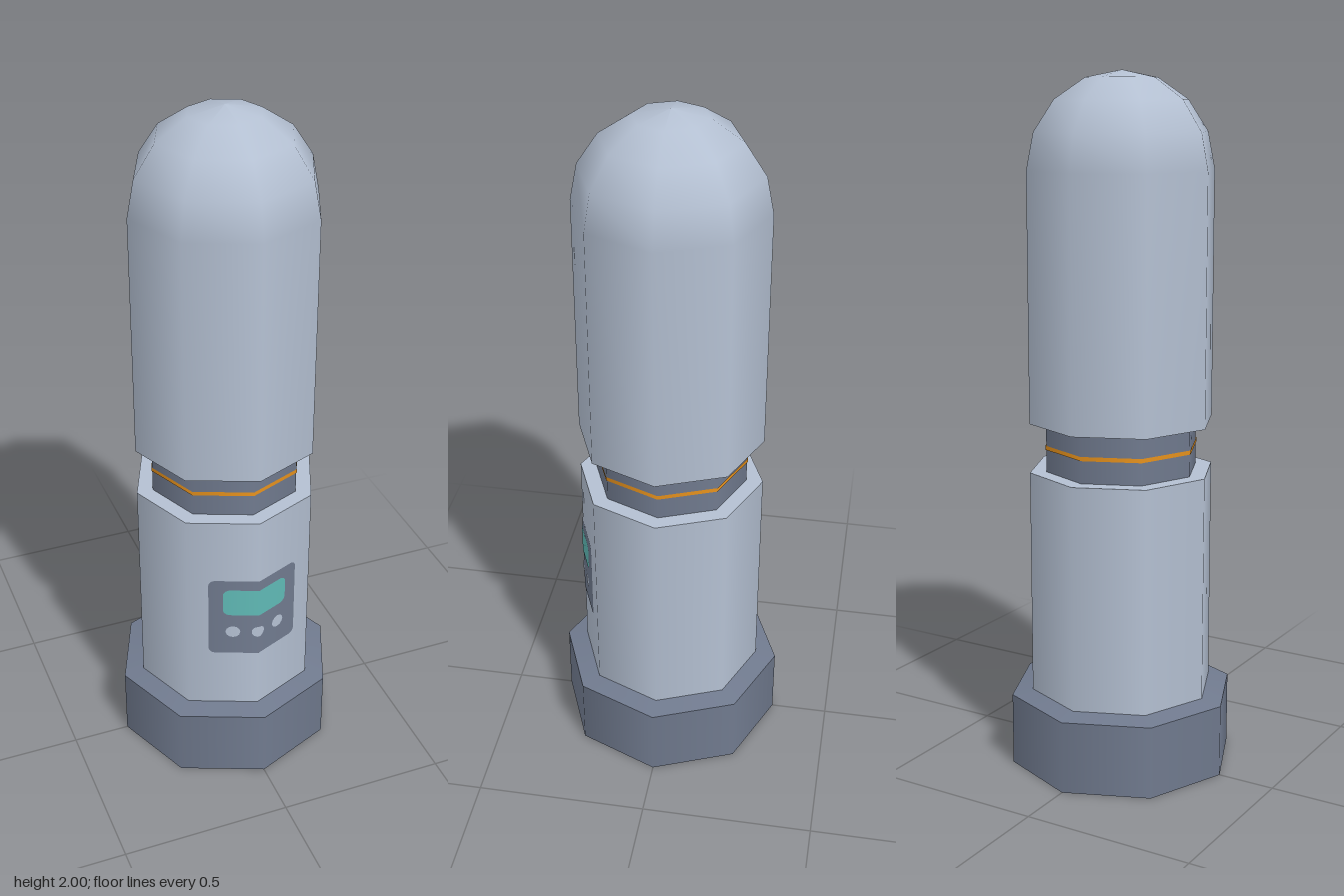
import * as THREE from 'three';
import { mergeGeometries } from 'three/addons/utils/BufferGeometryUtils.js';

const SIDES = 8, R = 0.27;

function material(name, color) {
  const m = new THREE.MeshStandardMaterial({ color, side: THREE.DoubleSide });
  m.name = name;
  return m;
}

// Octagonal shell; each profile (bottom to top) is smooth, edges between profiles are sharp
function shell(name, mat, ...profiles) {
  const parts = profiles.map(p =>
    new THREE.LatheGeometry(p.map(([r, y]) => new THREE.Vector2(r, y)), SIDES));
  const mesh = new THREE.Mesh(mergeGeometries(parts), mat);
  mesh.name = name;
  return mesh;
}

// Right half of a rounded rectangle centred on the origin
function halfPlate(w, h, r) {
  const s = new THREE.Shape();
  s.moveTo(0, -h);
  s.lineTo(w - r, -h);
  s.absarc(w - r, -h + r, r, -Math.PI / 2, 0, false);
  s.absarc(w - r, h - r, r, 0, Math.PI / 2, false);
  s.lineTo(0, h);
  return new THREE.ShapeGeometry(s, 6);
}

// Lay a flat geometry on the two front faces, which meet at x = 0
function wrap(geo, lift) {
  const p = geo.attributes.position, n = geo.attributes.normal;
  for (let i = 0; i < p.count; i++) {
    const x = p.getX(i);
    p.setZ(i, R + lift - Math.abs(x) * Math.tan(Math.PI / 8));
    const a = (x / (R * Math.SQRT1_2)) * Math.PI / 4;
    n.setXYZ(i, Math.sin(a), 0, Math.cos(a));
  }
  return geo;
}

function plate(name, mat, w, h, r, y, lift) {
  const halves = [halfPlate(w, h, r), halfPlate(w, h, r).rotateZ(Math.PI)];
  const mesh = new THREE.Mesh(wrap(mergeGeometries(halves).translate(0, y, 0), lift), mat);
  mesh.name = name;
  return mesh;
}

export function createModel() {
  const pale = material('pale casing', 0xb4c0d2);
  const slate = material('slate trim', 0x707a8e);
  const teal = material('teal display', 0x5fb8b4);
  const orange = material('orange band', 0xf39a1f);
  const model = new THREE.Group();
  model.name = 'capsuleDevice';

  // Hollow foot, open below, with a slightly sloping rim
  model.add(shell('foot', slate,
    [[0.331, 0], [0.331, 0.212]],
    [[0.331, 0.212], [R, 0.224]]));

  // Lower casing with a ledge around the neck
  model.add(shell('lowerCasing', pale,
    [[R, 0.224], [R, 0.88]],
    [[R, 0.88], [0.222, 0.88]]));

  // Neck and its thin band
  model.add(shell('neck', slate, [[0.222, 0.88], [0.222, 1.022]]));
  model.add(shell('neckBand', orange, [[0.2245, 0.945], [0.2245, 0.957]]));

  // Upper casing running smoothly into the dome
  const dome = [[R, 1.022]];
  for (let i = 0; i <= 4; i++) {
    const a = i * Math.PI / 8;
    dome.push([i === 4 ? 0 : R * Math.cos(a), 1.73 + R * Math.sin(a)]);
  }
  model.add(shell('upperCasing', pale, [[0.222, 1.022], [R, 1.022]], dome));

  // Control panel folded over the front edge
  const panel = new THREE.Group();
  panel.name = 'controlPanel';
  panel.add(plate('panelPlate', slate, 0.135, 0.132, 0.018, 0.548, 0.002));
  panel.add(plate('display', teal, 0.097, 0.045, 0.02, 0.603, 0.004));
  panel.add(plate('middleButton', pale, 0.019, 0.018, 0.017, 0.497, 0.004));
  for (const x of [-0.07, 0.07]) {
    const geo = new THREE.CircleGeometry(0.02, 12).translate(x, 0.497, 0);
    const button = new THREE.Mesh(wrap(geo, 0.004), pale);
    button.name = x > 0 ? 'leftButton' : 'rightButton';
    panel.add(button);
  }
  model.add(panel);
  return model;
}
